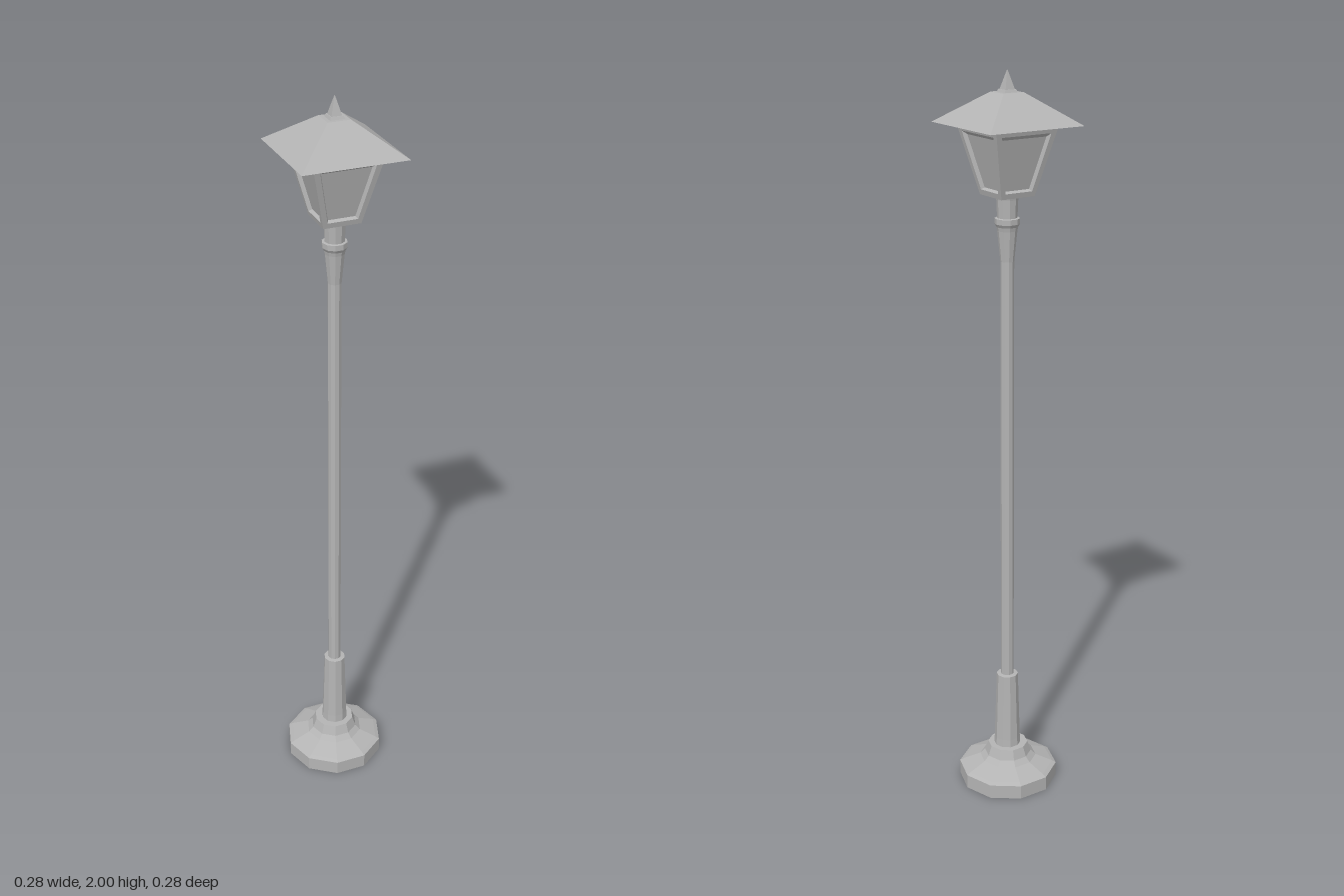
import * as THREE from 'three';

export function createModel() {
  const lamp = new THREE.Group();
  lamp.name = 'streetLamp';
  const metal = new THREE.MeshStandardMaterial({ color: 0xb4b4b4, flatShading: true });
  metal.name = 'grey metal';

  const add = (name, geometry, parent = lamp) => {
    const mesh = new THREE.Mesh(geometry, metal);
    mesh.name = name;
    parent.add(mesh);
    return mesh;
  };

  // Ten-sided turned parts, profile given as [radius, y] from bottom to top
  const turned = (name, profile) => {
    const g = new THREE.LatheGeometry(profile.map(([r, y]) => new THREE.Vector2(r, y)), 10);
    g.rotateY(Math.PI / 2);
    return add(name, g);
  };

  // Square tapered block, half widths at the bottom and top
  const squareBlock = (name, y0, half0, y1, half1) => {
    const g = new THREE.CylinderGeometry(half1 * Math.SQRT2, half0 * Math.SQRT2, y1 - y0, 4);
    g.rotateY(Math.PI / 4);
    g.translate(0, (y0 + y1) / 2, 0);
    return add(name, g);
  };

  // Foot, pedestal and post
  turned('foot', [[0, 0], [0.139, 0], [0.139, 0.04], [0.128, 0.046], [0.08, 0.066],
    [0.066, 0.08], [0.056, 0.108], [0, 0.108]]).position.x = -0.002;
  turned('pedestal', [[0.038, 0.1], [0.036, 0.13], [0.03, 0.33], [0, 0.333]]);
  turned('post', [[0.018, 0.32], [0.018, 1.6]]);

  // Flared collar and neck under the lantern
  turned('collar', [[0.018, 1.52], [0.026, 1.6], [0.028, 1.61], [0.033, 1.618], [0.033, 1.632], [0, 1.638]]);
  turned('neck', [[0.026, 1.63], [0.028, 1.68], [0.03, 1.695]]);

  // Lantern sides: a sloped frame, a bevelled reveal and a recessed pane
  const y0 = 1.69, y1 = 1.87;
  const faceZ = (y) => 0.05 + (y - y0) * 0.24;
  const loop = (bottom, halfBottom, top, halfTop, depth) => [
    [-halfBottom, bottom], [halfBottom, bottom], [halfTop, top], [-halfTop, top],
  ].map(([x, y]) => [x, y, faceZ(y) - depth]);
  const loops = [
    loop(y0, faceZ(y0), y1, faceZ(y1), 0),
    loop(1.704, 0.04, 1.85, 0.073, 0),
    loop(1.709, 0.036, 1.841, 0.066, 0.01),
  ];
  const quad = (a, b, c, d) => [a, b, c, a, c, d].flat();
  const surface = (positions) => {
    const g = new THREE.BufferGeometry();
    g.setAttribute('position', new THREE.Float32BufferAttribute(positions, 3));
    g.computeVertexNormals();
    return g;
  };
  const ring = (outer, inner) => [0, 1, 2, 3].flatMap((i) => {
    const j = (i + 1) % 4;
    return quad(outer[i], outer[j], inner[j], inner[i]);
  });
  const frameGeometry = surface([...ring(loops[0], loops[1]), ...ring(loops[1], loops[2])]);
  const paneGeometry = surface(quad(...loops[2]));
  for (let i = 0; i < 4; i++) {
    const side = new THREE.Group();
    side.name = 'lanternSide';
    side.rotation.y = i * Math.PI / 2;
    add('frame', frameGeometry, side);
    add('pane', paneGeometry, side);
    lamp.add(side);
  }
  const floor = add('lanternFloor', new THREE.PlaneGeometry(0.1, 0.1));
  floor.rotation.x = Math.PI / 2;
  floor.position.y = y0;

  // Hipped roof with a stepped finial
  squareBlock('roof', 1.868, 0.138, 1.946, 0.03);
  squareBlock('finialBase', 1.945, 0.02, 1.953, 0.016);
  squareBlock('finialSpike', 1.952, 0.014, 2, 0.0005);

  return lamp;
}
